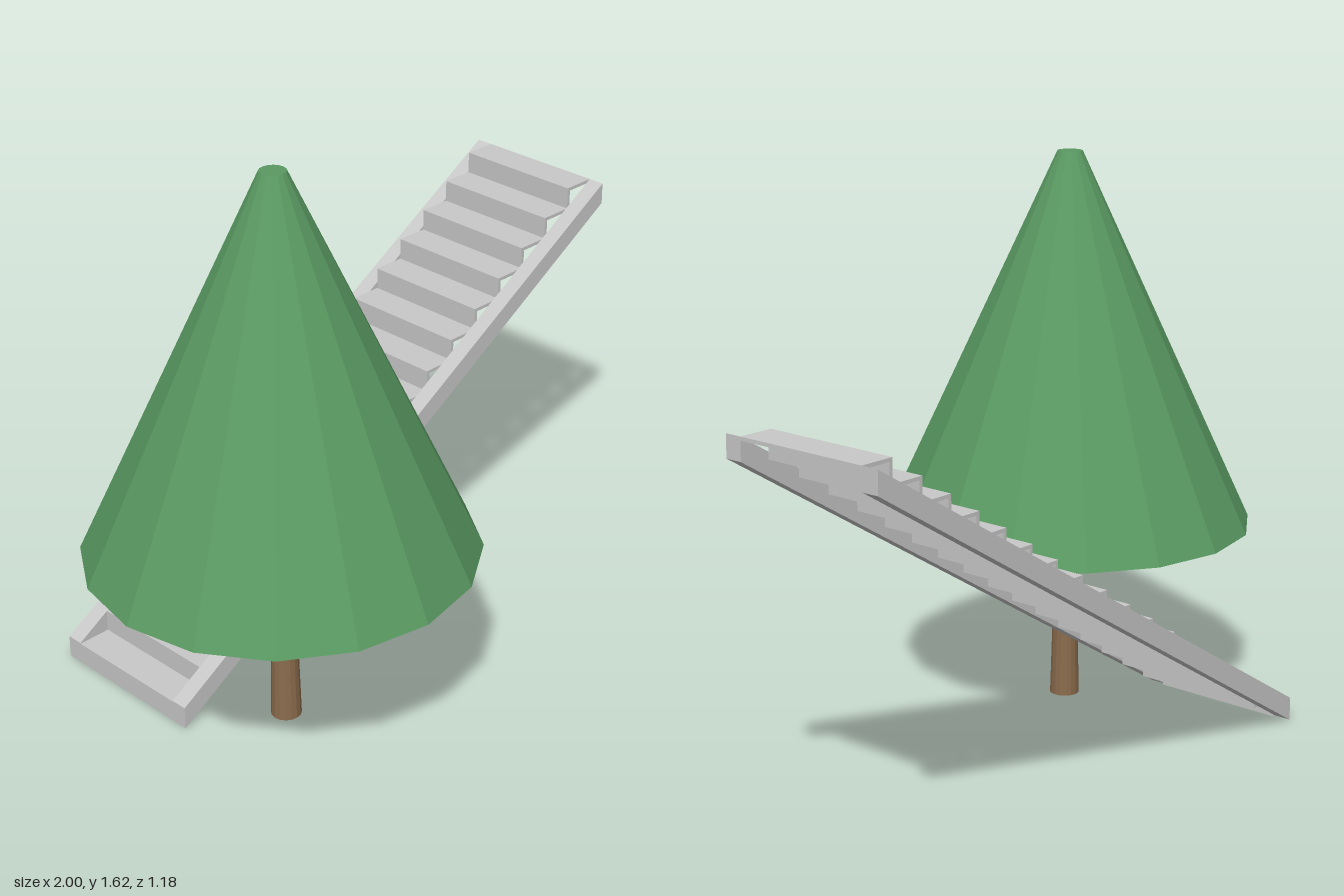
import * as THREE from 'three';

const leafGreen = new THREE.MeshStandardMaterial({ name: 'leaf green', color: 0x5a9a62, flatShading: true });
const barkBrown = new THREE.MeshStandardMaterial({ name: 'bark brown', color: 0x8a6b4c, flatShading: true });
const stoneGrey = new THREE.MeshStandardMaterial({ name: 'stone grey', color: 0xc8c8c8, flatShading: true });

const X0 = -0.71, X1 = 1, TOP = 1.1, STEPS = 17;
const RUN = (X1 - X0) / STEPS, RISE = TOP / STEPS, THICK = 0.01;

function add(group, name, geometry, material, x, y, z) {
  const mesh = new THREE.Mesh(geometry, material);
  mesh.name = name;
  mesh.position.set(x, y, z);
  group.add(mesh);
}

// Side profile in x and y, extruded towards +z
function extrude(points, depth) {
  const shape = new THREE.Shape(points.map(([x, y]) => new THREE.Vector2(x, y)));
  return new THREE.ExtrudeGeometry(shape, { depth, bevelEnabled: false });
}

function createTree() {
  const tree = new THREE.Group();
  tree.name = 'tree';
  add(tree, 'trunk', new THREE.CylinderGeometry(0.03, 0.043, 0.54, 16), barkBrown, 0, 0.27, 0);
  add(tree, 'foliage', new THREE.CylinderGeometry(0.036, 0.538, 1.08, 16), leafGreen, 0, 1.08, 0);
  tree.position.set(-0.462, 0, 0.05);
  return tree;
}

function createStairs() {
  const stairs = new THREE.Group();
  stairs.name = 'stairs';

  // Thin folded strip of risers and treads, open underneath
  const upper = [], lower = [];
  for (let i = 0; i < STEPS; i++) {
    const x = X0 + i * RUN, y = i * RISE, last = i === STEPS - 1;
    upper.push([x, y], [x, y + RISE]);
    lower.push([x + THICK, i ? y - THICK : 0], [x + THICK, y + RISE - THICK]);
    if (last) {
      upper.push([X1, TOP]);
      lower.push([X1, TOP - THICK]);
    }
  }
  add(stairs, 'steps', extrude([...upper, ...lower.reverse()], 0.4), stoneGrey, 0, 0, -0.54);

  // Sloping side beams with upright ends
  const beam = [[X0, 0], [X1, 1.037], [X1, TOP], [X0, 0.067]];
  for (const [name, z] of [['frontStringer', -0.14], ['backStringer', -0.59]]) {
    add(stairs, name, extrude(beam, 0.05), stoneGrey, 0, 0, z);
  }
  return stairs;
}

export function createModel() {
  const model = new THREE.Group();
  model.name = 'treeAndStairs';
  model.add(createTree(), createStairs());
  return model;
}
